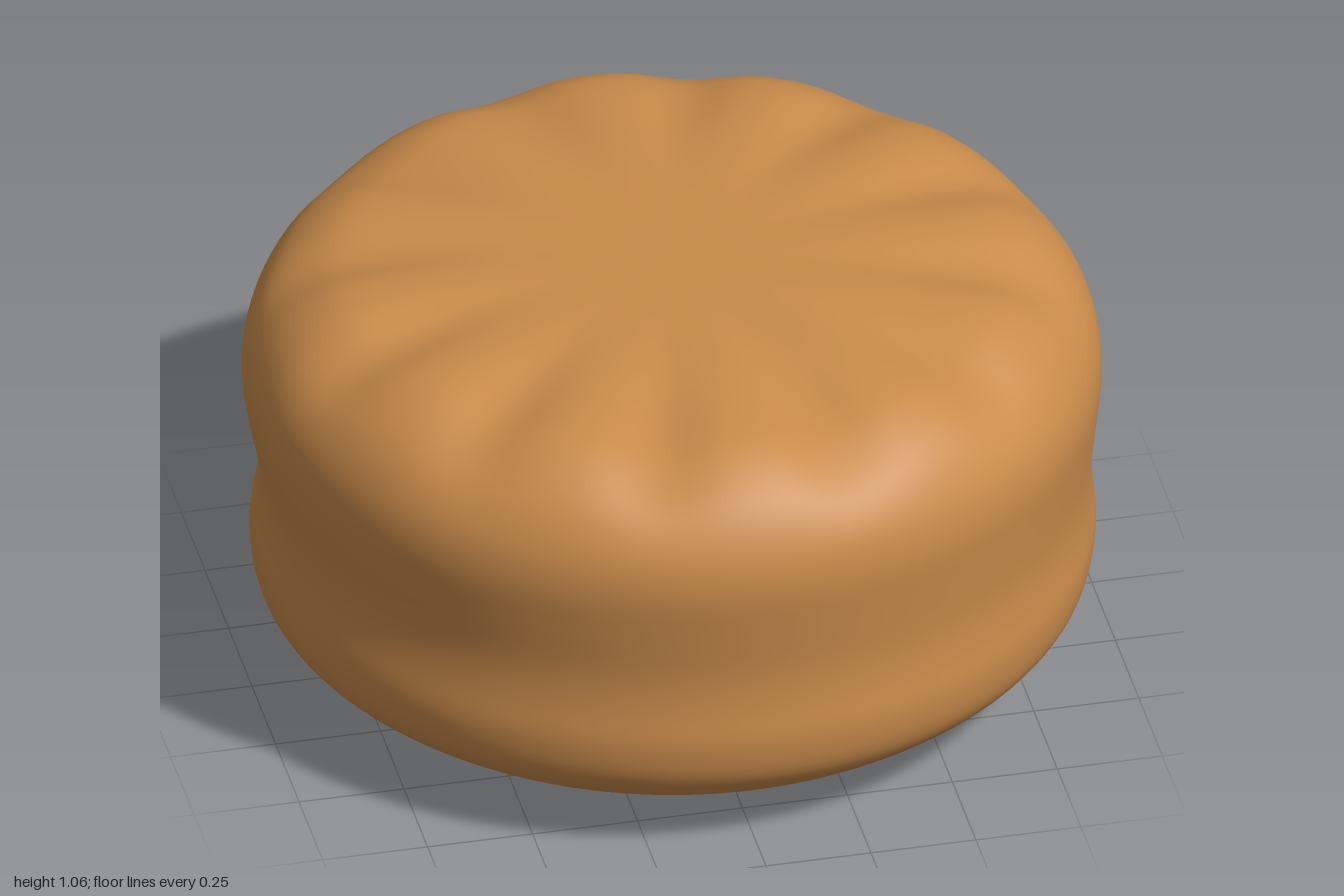
import * as THREE from 'three';
import { mergeVertices } from 'three/addons/utils/BufferGeometryUtils.js';

// Bell-shaped weight, 1 at the centre and fading to 0
const bell = (v, centre, width) => Math.exp(-(((v - centre) / width) ** 2));

export function createModel() {
  const model = new THREE.Group();
  const leather = new THREE.MeshStandardMaterial({ color: 0xc98b4b });
  leather.name = 'tan leather';

  // Half section from the middle of the base up to the middle of the seat
  const section = [
    [0, 0.005], [0.3, 0.008], [0.58, 0.022], [0.75, 0.065], [0.88, 0.14], [0.96, 0.22],
    [0.988, 0.32], [0.99, 0.42], [0.992, 0.52], [0.995, 0.65], [1, 0.77], [0.98, 0.865],
    [0.925, 0.955], [0.84, 1.02], [0.74, 1.052], [0.55, 1.063], [0.3, 1.065], [0, 1.065],
  ].map(([r, y]) => new THREE.Vector2(r, y));
  const profile = new THREE.SplineCurve(section).getPoints(80);
  profile[0].x = profile[profile.length - 1].x = 0;

  let body = new THREE.LatheGeometry(profile, 144);
  const pos = body.attributes.position;
  for (let i = 0; i < pos.count; i++) {
    const x = pos.getX(i), y = pos.getY(i), z = pos.getZ(i);
    const r = Math.hypot(x, z);
    const a = Math.atan2(z, x);
    // Soft waist, a little deeper towards the back right corner
    const waist = (0.024 + 0.01 * Math.cos(a + Math.PI * 0.75)) * bell(y, 0.5, 0.14);
    // Twelve gathered folds radiating over the top cushion
    const fold = (0.5 - 0.5 * Math.cos(12 * a)) ** 1.5;
    const drop = y > 0.7 ? 0.032 * fold * bell(r, 0.78, 0.24) * THREE.MathUtils.smoothstep(y, 0.8, 1.02) : 0;
    pos.setXYZ(i, x * (1 - waist), y - drop, z * (1 - waist));
  }

  // Weld the seam so the shading is smooth all round
  body.deleteAttribute('normal');
  body.deleteAttribute('uv');
  body = mergeVertices(body, 1e-5);
  body.computeVertexNormals();

  const pouf = new THREE.Mesh(body, leather);
  pouf.name = 'poufCushion';
  model.add(pouf);
  return model;
}
